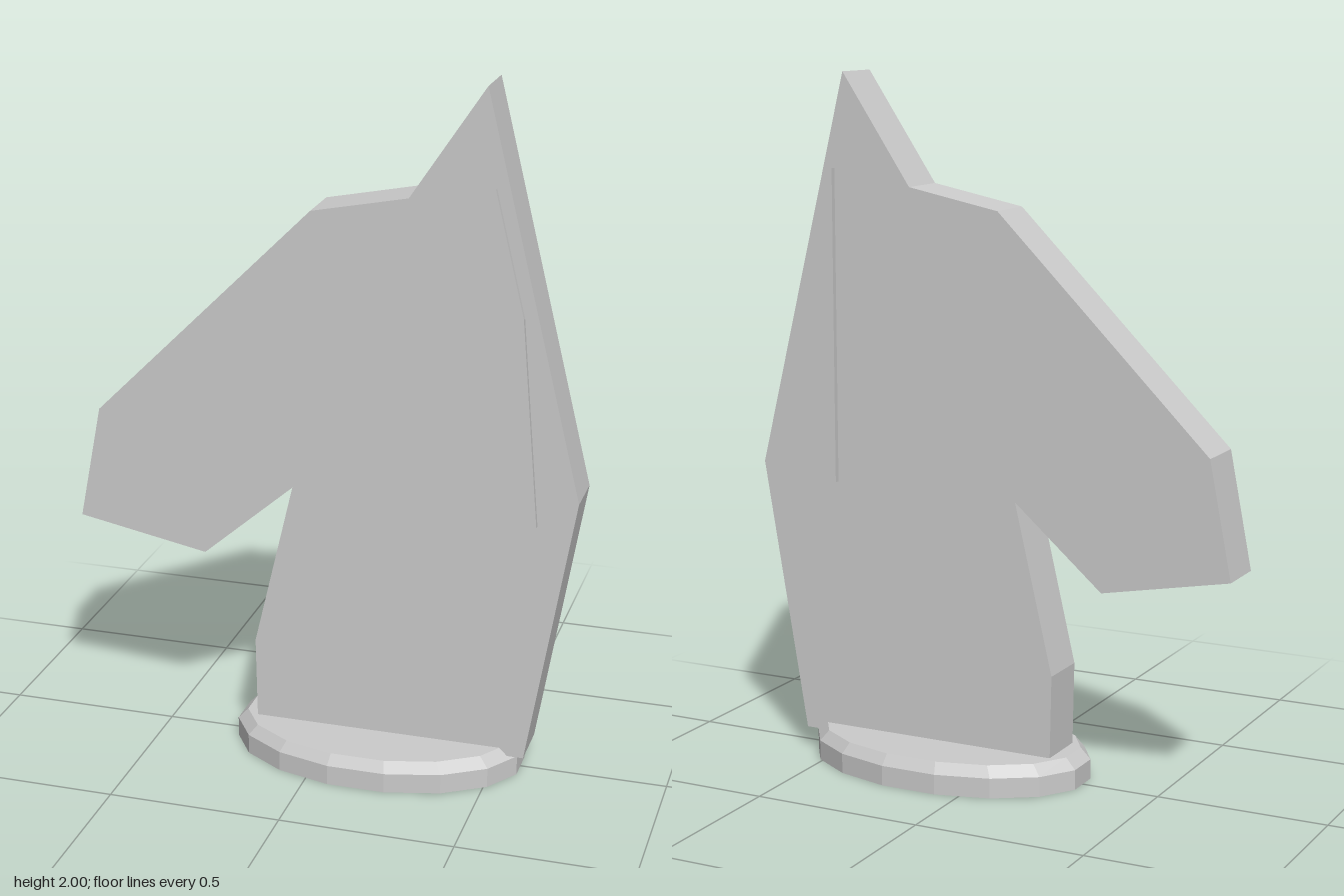
import * as THREE from 'three';

const HALF = 0.0765; // half thickness of the slab

// Extrude a front outline between two depths
function slab(points, z0, z1, material, name) {
  const shape = new THREE.Shape(points.map(([x, y]) => new THREE.Vector2(x, y)));
  const geometry = new THREE.ExtrudeGeometry(shape, { depth: z1 - z0, bevelEnabled: false });
  geometry.translate(0, 0, z0);
  const mesh = new THREE.Mesh(geometry, material);
  mesh.name = name;
  return mesh;
}

// One ring section of the oval base, 16 sides with flats facing the axes
function ovalSection(topRadius, bottomRadius, y0, y1, material, name) {
  const geometry = new THREE.CylinderGeometry(topRadius, bottomRadius, y1 - y0, 16);
  geometry.rotateY(Math.PI / 16);
  geometry.scale(1, 1, 0.63);
  geometry.translate(0.153, (y0 + y1) / 2, 0);
  const mesh = new THREE.Mesh(geometry, material);
  mesh.name = name;
  return mesh;
}

export function createModel() {
  const model = new THREE.Group();
  model.name = 'horseHeadPiece';
  const grey = new THREE.MeshStandardMaterial({ color: 0xcccccc, flatShading: true });
  grey.name = 'light grey';

  // Oval base: straight rim and bevelled top
  const base = new THREE.Group();
  base.name = 'base';
  base.add(
    ovalSection(0.43, 0.43, 0, 0.058, grey, 'baseRim'),
    ovalSection(0.4, 0.43, 0.058, 0.09, grey, 'baseBevel'),
  );
  model.add(base);

  // Head and neck silhouette
  const outline = [
    [-0.2, 0.067], [0.597, 0.067], [0.73, 0.863], [0.45, 2], [0.24, 1.685],
    [-0.035, 1.63], [-0.67, 0.997], [-0.735, 0.663], [-0.355, 0.59],
    [-0.09, 0.82], [-0.205, 0.33],
  ];
  model.add(slab(outline, -HALF, HALF, grey, 'headAndNeck'));

  // Raised mane plate on each side
  const mane = [[0.48, 0.825], [0.617, 0.785], [0.565, 1.38], [0.48, 1.73]];
  model.add(slab(mane, HALF, 0.092, grey, 'frontMane'));
  model.add(slab(mane, -0.092, -HALF, grey, 'backMane'));

  return model;
}
